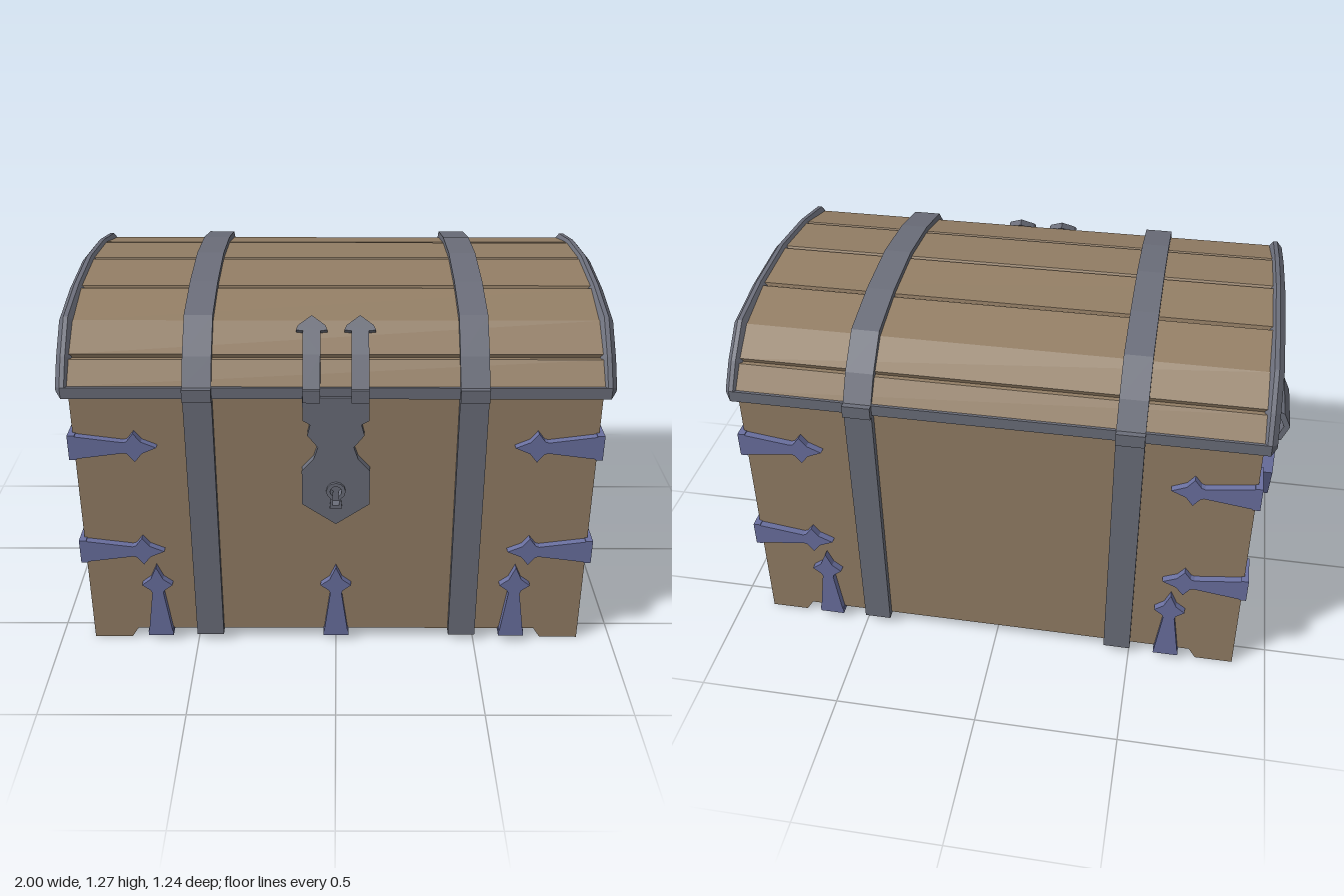
import * as THREE from 'three';

const mat = (name, color) => Object.assign(new THREE.MeshStandardMaterial({ color }), { name });

export function createModel() {
  const chest = new THREE.Group();
  chest.name = 'chest';
  const wood = mat('wood', 0x937e65);
  const iron = mat('iron', 0x6b6e7a);
  const blueSteel = mat('blueSteel', 0x6a70a0);

  const add = (name, geo, material, parent = chest) => {
    const m = new THREE.Mesh(geo, material);
    m.name = name;
    parent.add(m);
    return m;
  };
  const box = (x0, x1, y0, y1, z0, z1) =>
    new THREE.BoxGeometry(x1 - x0, y1 - y0, z1 - z0)
      .translate((x0 + x1) / 2, (y0 + y1) / 2, (z0 + z1) / 2);
  const shapeOf = (pts) => new THREE.Shape(pts.map(([x, y]) => new THREE.Vector2(x, y)));
  const extrude = (shape, depth) =>
    new THREE.ExtrudeGeometry(shape, { depth, bevelEnabled: false, curveSegments: 5 });
  // extrude a [z, y] outline along x
  const alongX = (pts, x0, x1) =>
    extrude(shapeOf(pts.map(([z, y]) => [-z, y])), x1 - x0).rotateY(Math.PI / 2).translate(x0, 0, 0);
  // complete a half outline (first to last ends on the centre line)
  const mirrored = (half) =>
    [...half, ...half.filter(([x]) => x > 0).reverse().map(([x, y]) => [-x, y])];

  // Body with four tapered feet
  add('body', box(-0.88, 0.88, 0.04, 0.98, -0.58, 0.58), wood);
  for (const sx of [-1, 1]) for (const sz of [-1, 1]) {
    const g = new THREE.BoxGeometry(0.16, 0.04, 0.15).translate(sx * 0.8, 0.02, sz * 0.505);
    const p = g.attributes.position;
    for (let i = 0; i < p.count; i++) {
      if (p.getY(i) > 0.02) continue;
      if (Math.abs(p.getX(i)) < 0.8) p.setX(i, sx * 0.745);
      if (Math.abs(p.getZ(i)) < 0.505) p.setZ(i, sz * 0.45);
    }
    g.computeVertexNormals();
    add('foot', g, wood);
  }

  // Domed lid with V grooves between the planks
  const dome = mirrored([[0.59, 1.02], [0.53, 1.1], [0.435, 1.19], [0.24, 1.235], [0, 1.255]]);
  const grooved = [[0.59, 1.0]];
  dome.forEach(([z, y], i) => {
    if (![1, 3, 4, 5, 7].includes(i)) return grooved.push([z, y]);
    const here = new THREE.Vector2(z, y);
    const toward = (q) => here.clone().lerp(new THREE.Vector2(...q), 0.009 / here.distanceTo(new THREE.Vector2(...q)));
    const a = toward(dome[i - 1]), b = toward(dome[i + 1]);
    const inward = new THREE.Vector2(0, 0.75).sub(here).setLength(0.014).add(here);
    for (const v of [a, inward, b]) grooved.push([v.x, v.y]);
  });
  grooved.push([-0.59, 1.0]);
  add('lidPlanks', alongX(grooved, -0.885, 0.885), wood);
  add('lidRim', box(-0.89, 0.89, 0.98, 1.02, -0.6, 0.6), iron);

  // Bevelled iron end caps of the lid
  const capOutline = mirrored([[0.6, 0.98], [0.6, 1.02], [0.54, 1.105], [0.44, 1.205], [0.24, 1.245], [0, 1.265]]);
  for (const sx of [-1, 1]) {
    const g = new THREE.ExtrudeGeometry(shapeOf(capOutline), {
      depth: 0.015, bevelThickness: 0.018, bevelSize: 0.02, bevelOffset: -0.02, bevelSegments: 1,
    });
    add('lidEndCap', g.rotateY(Math.PI / 2).translate(sx * 0.8945 - 0.0075, 0, 0), iron);
  }

  // Iron straps around lid, walls and floor
  const strapOutline = mirrored([[0.6, 1.0], [0.6, 1.02], [0.545, 1.108], [0.443, 1.212], [0.24, 1.255], [0, 1.275]]);
  for (const sx of [-1, 1]) {
    const x0 = sx * 0.455 - 0.048, x1 = sx * 0.455 + 0.048;
    add('lidStrap', alongX(strapOutline, x0, x1), iron);
    add('lidStrapClip', box(x0, x1, 0.975, 1.02, -0.62, 0.62), iron);
    add('floorStrap', box(x0, x1, 0.03, 0.05, -0.605, 0.605), iron);
    for (const sz of [-1, 1]) {
      add('wallStrap', box(x0, x1, 0.03, 0.98, sz * 0.59 - 0.015, sz * 0.59 + 0.015), iron);
    }
  }

  // Pointed plates: base at y = 0, tip at y = 0.295
  const pointed = () => extrude(shapeOf(mirrored([
    [0.045, 0], [0.02, 0.185], [0.024, 0.197], [0.054, 0.22], [0.022, 0.245], [0, 0.295],
  ])), 0.03);
  for (const sz of [-1, 1]) {
    const z0 = sz * 0.59 - 0.015;
    // corner brackets wrapping round the sides
    for (const sx of [-1, 1]) for (const y of [0.8, 0.387]) {
      add('cornerBracket', pointed().rotateZ(sx * Math.PI / 2).translate(sx * 0.895, y, z0), blueSteel);
      add('cornerBracketSide', box(sx * 0.8825 - 0.0125, sx * 0.8825 + 0.0125,
        y - 0.045, y + 0.045, sz * 0.545 - 0.06, sz * 0.545 + 0.06), blueSteel);
    }
    // upright brackets hooked under the floor
    for (const x of sz > 0 ? [-0.635, 0, 0.635] : [-0.635, 0.635]) {
      add('floorBracket', pointed().translate(x, 0.025, z0), blueSteel);
      add('floorBracketHook', box(x - 0.045, x + 0.045, 0.025, 0.045, sz * 0.55 - 0.055, sz * 0.55 + 0.055), blueSteel);
    }
  }

  // Lock plate with keyhole
  const keyhole = (r, w, bottom) => {
    const s = new THREE.Shape();
    const a = Math.asin(w / r);
    s.moveTo(-w * 1.25, bottom);
    s.lineTo(w * 1.25, bottom);
    s.absarc(0, 0.64, r, -Math.PI / 2 + a, Math.PI * 1.5 - a, false);
    s.closePath();
    return s;
  };
  const lock = shapeOf(mirrored([
    [0.11, 0.99], [0.11, 0.905], [0.085, 0.89], [0.095, 0.85], [0.06, 0.805], [0.075, 0.76],
    [0.115, 0.715], [0.115, 0.585], [0, 0.505],
  ]));
  const hole = keyhole(0.02, 0.009, 0.585);
  lock.holes.push(hole);
  add('lockPlate', extrude(lock, 0.03).translate(0, 0, 0.58), iron);
  const rim = keyhole(0.033, 0.017, 0.573);
  rim.holes.push(hole);
  add('keyholeRim', extrude(rim, 0.012).translate(0, 0, 0.608), iron);
  add('keyholeBack', box(-0.03, 0.03, 0.575, 0.67, 0.578, 0.585), iron);

  // Two hasps running up the front of the lid
  for (const x of [-0.08, 0.08]) {
    add('haspClip', box(x - 0.029, x + 0.029, 0.975, 1.02, 0.58, 0.62), iron);
    add('haspStrip', alongX([[0.57, 1.0], [0.61, 1.02], [0.545, 1.115], [0.51, 1.1]], x - 0.029, x + 0.029), iron);
    const head = shapeOf(mirrored([[0.029, 0], [0.029, 0.085], [0.052, 0.088], [0.045, 0.105], [0, 0.14]]));
    add('haspHead', extrude(head, 0.022).rotateX(-0.77).translate(x, 1.097, 0.527), iron);
  }

  // Side handles: octagonal ring hung in a curled mount
  const octagon = (r) => Array.from({ length: 8 }, (_, i) =>
    [r * Math.cos(i * Math.PI / 4), 0.605 + r * Math.sin(i * Math.PI / 4)]);
  const ring = shapeOf(octagon(0.205));
  ring.holes.push(shapeOf(octagon(0.148)));
  const mount = shapeOf([
    [0.87, 0.8], [0.925, 0.83], [0.975, 0.81], [1.0, 0.755], [0.975, 0.695], [0.93, 0.678],
    [0.935, 0.7], [0.96, 0.712], [0.978, 0.755], [0.96, 0.793], [0.925, 0.808], [0.87, 0.775],
  ]);
  for (const side of [0, 1]) {
    const handle = new THREE.Group();
    handle.name = side ? 'rightHandle' : 'leftHandle';
    handle.rotation.y = side * Math.PI;
    add('handleRing', extrude(ring, 0.065).rotateY(Math.PI / 2).translate(0.89, 0, 0), blueSteel, handle);
    add('handleMount', extrude(mount, 0.24).translate(0, 0, -0.12), iron, handle);
    chest.add(handle);
  }
  return chest;
}
